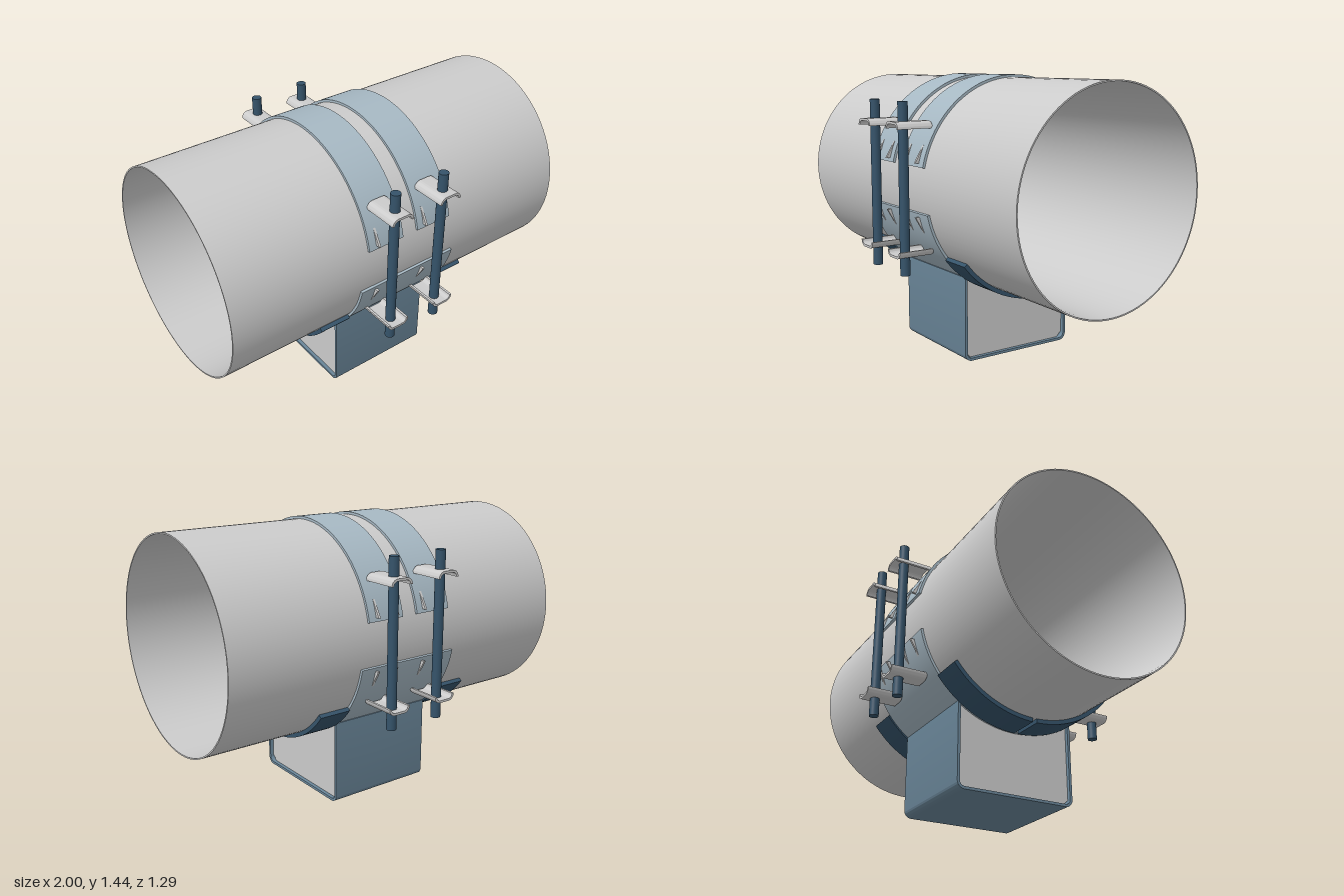
import * as THREE from 'three';
import { toCreasedNormals } from 'three/addons/utils/BufferGeometryUtils.js';

const AXIS = 0.888; // height of the pipe axis
const PIPE_R = 0.537, STRAP_R = 0.55;
const END = 0.207; // angle of strap ends above/below the horizontal

const mat = (color) => new THREE.MeshStandardMaterial({ color });
const grey = mat(0xcccccc), strapBlue = mat(0xa6b8c3), channelBlue = mat(0x6a8699), darkBlue = mat(0x35536a);

function extrude(shape, depth, segments = 48) {
  const g = new THREE.ExtrudeGeometry(shape, { depth, bevelEnabled: false, curveSegments: segments });
  g.translate(0, 0, -depth / 2);
  return toCreasedNormals(g, 0.6);
}

// Shape drawn in (z, y), extruded along x and centred on the given x
function alongX(name, shape, width, x, y, material) {
  const mesh = new THREE.Mesh(extrude(shape, width).rotateY(-Math.PI / 2), material);
  mesh.name = name;
  mesh.position.set(x, y, 0);
  return mesh;
}

function arcBand(inner, outer, a0, a1) {
  const s = new THREE.Shape();
  s.absarc(0, 0, outer, a0, a1, false);
  s.absarc(0, 0, inner, a1, a0, true);
  s.closePath();
  return s;
}

// Bent sheet of U form: open at the top, rounded at the bottom corners
function uProfile(half, bottom, top, r, t) {
  const s = new THREE.Shape();
  s.moveTo(-half, top);
  s.lineTo(-half, bottom + r);
  s.absarc(-half + r, bottom + r, r, Math.PI, Math.PI * 1.5, false);
  s.absarc(half - r, bottom + r, r, Math.PI * 1.5, Math.PI * 2, false);
  s.lineTo(half, top);
  s.lineTo(half - t, top);
  s.absarc(half - r, bottom + r, r - t, Math.PI * 2, Math.PI * 1.5, true);
  s.absarc(-half + r, bottom + r, r - t, Math.PI * 1.5, Math.PI, true);
  s.lineTo(-half + t, top);
  s.closePath();
  return s;
}

// Bolt lug: folded cap with two tapering cheeks; origin on the pipe axis
function createLug() {
  const lug = new THREE.Group();
  const half = 0.0625, t = 0.012, shoulder = 0.297;
  const capGeo = extrude(uProfile(half, -0.332, -shoulder, 0.035, t), 0.19, 10);
  const cap = new THREE.Mesh(capGeo.rotateZ(Math.PI), grey);
  cap.name = 'lugCap';
  cap.position.z = 0.55;
  lug.add(cap);

  const cheek = new THREE.Shape();
  cheek.moveTo(0.645, shoulder);
  cheek.absarc(0, 0, 0.546, 0.575, 0.244, true);
  cheek.lineTo(0.555, 0.132);
  cheek.closePath();
  for (const s of [-1, 1]) lug.add(alongX('lugCheek', cheek, t, s * (half - t / 2), 0, grey));
  return lug;
}

export function createModel() {
  const model = new THREE.Group();
  model.name = 'pipeSupport';

  // Pipe
  const ring = new THREE.Shape();
  ring.absarc(0, 0, PIPE_R, 0, Math.PI * 2, false);
  const bore = new THREE.Path();
  bore.absarc(0, 0, 0.53, 0, Math.PI * 2, true);
  ring.holes.push(bore);
  model.add(alongX('pipe', ring, 2, 0, AXIS, grey));

  // Upper straps and lower saddle
  const strap = arcBand(PIPE_R, STRAP_R, END, Math.PI - END);
  for (const s of [-1, 1]) model.add(alongX('strap', strap, 0.205, s * 0.1475, AXIS, strapBlue));
  const saddle = arcBand(PIPE_R, STRAP_R, Math.PI + END, Math.PI * 2 - END);
  model.add(alongX('saddle', saddle, 0.58, 0, AXIS, strapBlue));

  // Wear pads either side of the saddle, split along the bottom
  const bottom = Math.PI * 1.5;
  for (const s of [-1, 1]) {
    model.add(alongX('wearPad', arcBand(PIPE_R, 0.558, Math.PI + 0.66, bottom - 0.02), 0.172, s * 0.376, AXIS, darkBlue));
    model.add(alongX('wearPad', arcBand(PIPE_R, 0.558, bottom + 0.02, Math.PI * 2 - 0.66), 0.172, s * 0.376, AXIS, darkBlue));
  }

  // Channel base
  model.add(alongX('baseChannel', uProfile(0.325, 0, 0.44, 0.04, 0.014), 0.58, 0, 0, channelBlue));

  // End plates with clipped lower corners and a top cut to the saddle
  const w = 0.311, c = 0.028, floor = 0.014;
  const a = Math.acos(w / STRAP_R);
  const plate = new THREE.Shape();
  plate.moveTo(-w + c, floor);
  plate.lineTo(w - c, floor);
  plate.lineTo(w, floor + c);
  plate.absarc(0, AXIS, STRAP_R, -a, -Math.PI + a, true);
  plate.lineTo(-w, floor + c);
  plate.closePath();
  for (const s of [-1, 1]) model.add(alongX('endPlate', plate, 0.014, s * 0.263, 0, grey));

  // Lugs and threaded rods
  const rodGeo = new THREE.CylinderGeometry(0.025, 0.025, 0.855, 32);
  for (const x of [-0.145, 0.145]) {
    for (const back of [0, 1]) {
      for (const lower of [0, 1]) {
        const lug = createLug();
        lug.name = lower ? 'lowerLug' : 'upperLug';
        lug.position.set(x, AXIS, 0);
        lug.rotation.set(0, back * Math.PI, lower * Math.PI);
        model.add(lug);
      }
      const rod = new THREE.Mesh(rodGeo, darkBlue);
      rod.name = 'threadedRod';
      rod.position.set(x, AXIS, back ? -0.583 : 0.583);
      model.add(rod);
    }
  }
  return model;
}
